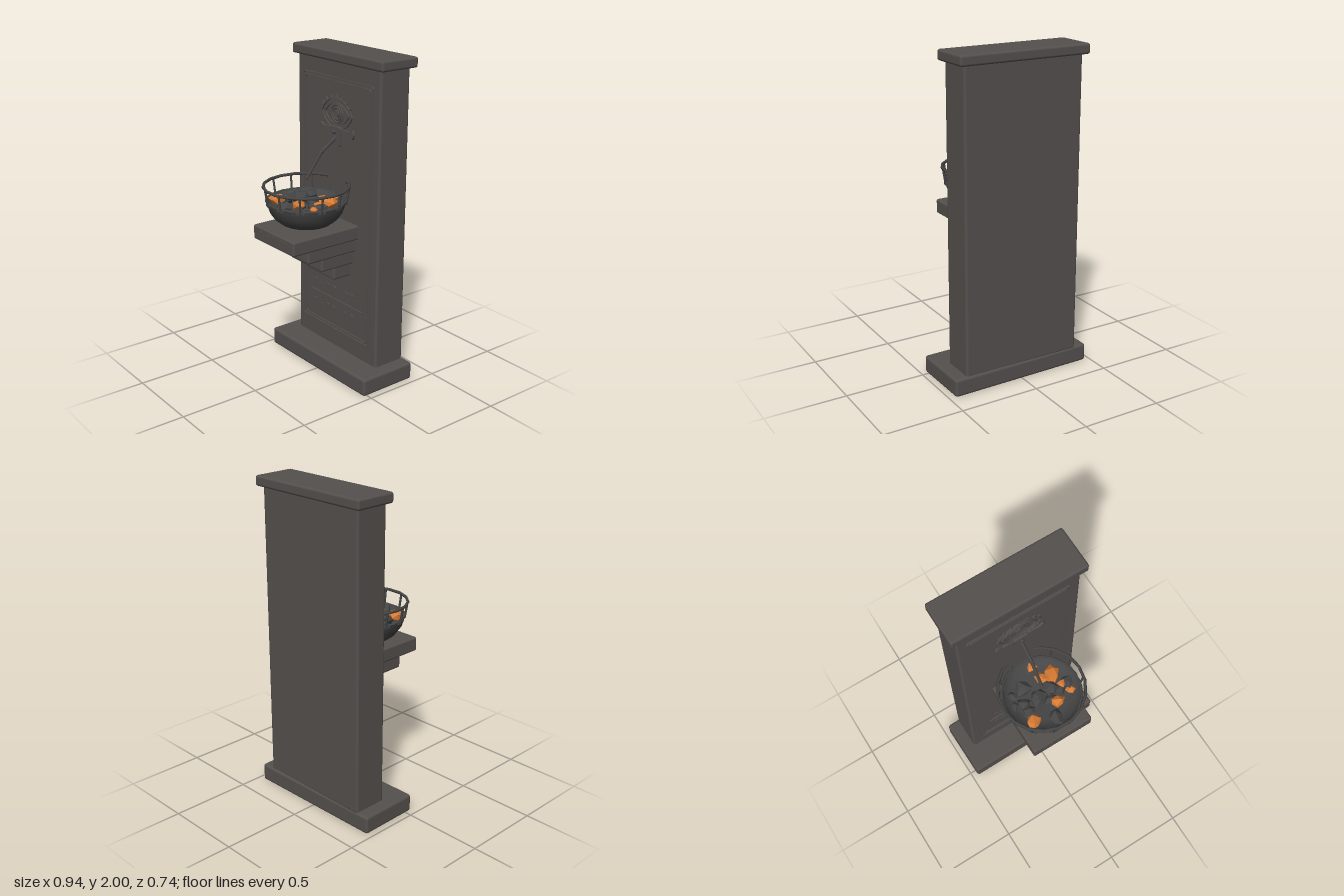
import * as THREE from 'three';
import { RoundedBoxGeometry } from 'three/addons/geometries/RoundedBoxGeometry.js';

const FACE = -0.127; // front plane of the slab

export function createModel() {
  const model = new THREE.Group();
  model.name = 'wallBrazier';
  const mat = (name, color, extra = {}) => {
    const m = new THREE.MeshStandardMaterial({ color, ...extra });
    m.name = name;
    return m;
  };
  const stone = mat('stone', 0x55504e);
  const iron = mat('iron', 0x474646, { side: THREE.DoubleSide });
  const charcoal = mat('charcoal', 0x464646, { flatShading: true });
  const ember = mat('ember', 0xd97c35, { flatShading: true });

  const add = (name, geo, material, parent = model) => {
    const m = new THREE.Mesh(geo, material);
    m.name = name;
    parent.add(m);
    return m;
  };
  const group = (name) => {
    const g = new THREE.Group();
    g.name = name;
    model.add(g);
    return g;
  };
  // Rounded block given by its limits on each axis
  const block = (name, x0, x1, y0, y1, z0, z1, r = 0.014) => {
    const m = add(name, new RoundedBoxGeometry(x1 - x0, y1 - y0, z1 - z0, 2, r), stone);
    m.position.set((x0 + x1) / 2, (y0 + y1) / 2, (z0 + z1) / 2);
    return m;
  };
  // Thin raised carving from a shape
  const carve = (name, shape, depth, z = FACE, parent = model, material = stone) => {
    const g = new THREE.ExtrudeGeometry(shape, { depth, bevelEnabled: false, curveSegments: 10 });
    g.translate(0, 0, z);
    return add(name, g, material, parent);
  };
  const rect = (Kind, x0, y0, x1, y1, c) => {
    const s = new Kind();
    s.moveTo(x0 + c, y0).lineTo(x1 - c, y0).lineTo(x1, y0 + c).lineTo(x1, y1 - c);
    s.lineTo(x1 - c, y1).lineTo(x0 + c, y1).lineTo(x0, y1 - c).lineTo(x0, y0 + c);
    return s;
  };
  // Straight bar between two points
  const bar = (name, a, b, r0, r1, material, parent, sides = 8) => {
    const d = b.clone().sub(a);
    const m = add(name, new THREE.CylinderGeometry(r1, r0, d.length(), sides), material, parent);
    m.position.copy(a).add(b).multiplyScalar(0.5);
    m.quaternion.setFromUnitVectors(new THREE.Vector3(0, 1, 0), d.normalize());
    return m;
  };
  const V = (x, y, z) => new THREE.Vector3(x, y, z);

  // Slab, base and cap
  block('slab', -0.387, 0.385, 0.1, 1.95, -0.345, FACE, 0.016);
  block('base', -0.466, 0.466, 0, 0.113, -0.352, 0.036, 0.018).rotation.y = 0.012;
  block('cap', -0.42, 0.42, 1.937, 2, -0.373, -0.104, 0.014);

  // Stepped bracket under the bowl
  [[0.204, 0.895, 0.985, 0.35], [0.18, 0.812, 0.897, 0.227],
    [0.157, 0.727, 0.814, 0.11], [0.135, 0.642, 0.729, 0.0]].forEach(([w, y0, y1, z], i) =>
    block('bracketStep' + (i + 1), -w, w, y0, y1, -0.2, z, 0.012));

  // Raised double border on the slab face
  [0, 0.02].forEach((d, i) => {
    const s = rect(THREE.Shape, -0.33 + d, 0.225 + d, 0.327 - d, 1.845 - d, 0.012);
    s.holes.push(rect(THREE.Path, -0.323 + d, 0.232 + d, 0.32 - d, 1.838 - d, 0.01));
    carve('borderLine' + (i + 1), s, 0.008);
  });

  // Carved eye
  const eye = group('carvedEye');
  const almond = (Kind, w, h) => {
    const s = new Kind();
    s.moveTo(-w, 0).bezierCurveTo(-w * 0.6, -h * 1.3, w * 0.6, -h * 1.3, w, 0);
    s.bezierCurveTo(w * 0.6, h * 1.3, -w * 0.6, h * 1.3, -w, 0);
    return s;
  };
  [[0.147, 0.1], [0.115, 0.07]].forEach(([w, h]) => {
    const s = almond(THREE.Shape, w, h);
    s.holes.push(almond(THREE.Path, w - 0.012, h - 0.008));
    carve('eyelid', s, 0.008, FACE, eye);
  });
  [0.054, 0.036].forEach((r) => add('irisRing', new THREE.TorusGeometry(r, 0.006, 6, 24), stone, eye).position.z = FACE);
  const pupil = add('pupil', new THREE.CylinderGeometry(0.022, 0.022, 0.016, 16), stone, eye);
  pupil.rotation.x = Math.PI / 2;
  pupil.position.z = FACE;
  for (let i = -3; i <= 3; i++) {
    const a = i * 0.36;
    bar('lash', V(Math.sin(a) * 0.135, Math.cos(a) * 0.092, FACE), V(Math.sin(a) * 0.155, Math.cos(a) * 0.115, FACE), 0.009, 0.004, stone, eye, 6);
  }
  eye.position.set(-0.003, 1.63, 0);

  // Spout: mounting plate, flared crossbar, knob and bent rod
  const spout = group('spout');
  const cross = new THREE.Shape();
  cross.moveTo(-0.15, -0.028).lineTo(-0.115, -0.014).lineTo(0.115, -0.014).lineTo(0.15, -0.028);
  cross.quadraticCurveTo(0.178, 0, 0.15, 0.028).lineTo(0.115, 0.014).lineTo(-0.115, 0.014).lineTo(-0.15, 0.028);
  cross.quadraticCurveTo(-0.178, 0, -0.15, -0.028);
  carve('crossbar', cross, 0.012, FACE, spout).position.y = 1.53;
  carve('mountPlate', rect(THREE.Shape, -0.045, 1.44, 0.045, 1.555, 0.006), 0.02, FACE, spout);
  add('knob', new THREE.SphereGeometry(0.014, 10, 8), iron, spout).position.set(0, 1.523, -0.104);
  const path = [V(0, 1.493, -0.12), V(0, 1.412, -0.002), V(0, 1.272, 0.104)];
  bar('rodUpper', path[0], path[1], 0.012, 0.011, iron, spout);
  bar('rodLower', path[1], path[2], 0.011, 0.009, iron, spout);
  add('rodElbow', new THREE.SphereGeometry(0.011, 8, 6), iron, spout).position.copy(path[1]);

  // Rows of abstract hooked notches
  const notches = (name, count, x0, x1, y, h, z) => {
    const g = group(name);
    const t = h * 0.16;
    const piece = (x, py, w, ph, rot = 0) => {
      const m = add('notch', new THREE.BoxGeometry(w, ph, 0.012), stone, g);
      m.position.set(x, py, z);
      m.rotation.z = rot;
    };
    for (let i = 0; i < count; i++) {
      const x = x0 + (x1 - x0) * i / (count - 1);
      piece(x, y, t, h);
      if (i % 3 === 1) piece(x, y + h * 0.12, h * 0.55, t);
      else {
        piece(x + h * 0.2, y + h * 0.42, h * 0.4, t, -0.25);
        piece(x + h * 0.38, y + h * 0.22, t, h * 0.4);
      }
    }
  };
  notches('upperNotches', 8, -0.21, 0.205, 0.487, 0.062, FACE);
  notches('lowerNotches', 8, -0.21, 0.205, 0.35, 0.062, FACE);
  notches('bracketNotches', 7, -0.125, 0.12, 0.942, 0.042, 0.348);
  carve('dividerLine', rect(THREE.Shape, -0.25, 0.427, 0.25, 0.437, 0.002), 0.008);

  // Bowl with a thick wall
  const fire = group('fireBowl');
  fire.position.z = 0.105;
  const profile = [[0, 0.985], [0.1, 0.987], [0.15, 1.005], [0.19, 1.035], [0.222, 1.08], [0.24, 1.135],
    [0.237, 1.145], [0.226, 1.14], [0.205, 1.105], [0.15, 1.085], [0, 1.075]].map(([x, y]) => new THREE.Vector2(x, y));
  add('bowl', new THREE.LatheGeometry(profile, 20), iron, fire);

  // Basket: top ring, rim ring and upright posts
  const ring = (name, r, tube, y) => {
    const m = add(name, new THREE.TorusGeometry(r, tube, 6, 18), iron, fire);
    m.rotation.x = Math.PI / 2;
    m.position.y = y;
  };
  ring('topRing', 0.256, 0.009, 1.23);
  ring('rimRing', 0.236, 0.008, 1.14);
  for (let i = 0; i < 12; i++) {
    const a = (i + 0.5) * Math.PI / 6;
    const s = Math.sin(a), c = Math.cos(a);
    bar('basketPost', V(s * 0.238, 1.125, c * 0.238), V(s * 0.255, 1.232, c * 0.255), 0.007, 0.007, iron, fire, 6);
    const clip = add('postClip', new THREE.BoxGeometry(0.05, 0.016, 0.014), iron, fire);
    clip.position.set(s * 0.236, 1.135, c * 0.236);
    clip.rotation.y = a;
  }

  // Faceted lumps: x, z, radius, height
  const lumps = (name, list, material) => list.forEach(([x, z, r, y], k) => {
    const geo = new THREE.IcosahedronGeometry(r, 0);
    const p = geo.attributes.position;
    for (let i = 0; i < p.count; i++) {
      const f = 1 + 0.2 * Math.sin(Math.round(p.getX(i) / r * 50) * 1.7 + Math.round(p.getY(i) / r * 50) * 2.3 + Math.round(p.getZ(i) / r * 50) * 0.9 + k);
      p.setXYZ(i, p.getX(i) * f, p.getY(i) * f * 0.7, p.getZ(i) * f * 0.9);
    }
    geo.computeVertexNormals();
    const m = add(name, geo, material);
    m.position.set(x, y, z);
    m.rotation.set(0.15 * Math.sin(k * 3), k * 1.9, 0.15 * Math.cos(k * 2));
  });
  lumps('coal', [[-0.08, 0.02, 0.056, 1.14], [-0.15, 0.03, 0.036, 1.13], [-0.175, 0.085, 0.028, 1.13],
    [-0.12, 0.1, 0.042, 1.13], [-0.03, 0.12, 0.06, 1.145], [0.06, 0.1, 0.05, 1.145], [0.165, 0.12, 0.045, 1.14],
    [-0.12, 0.165, 0.046, 1.13], [0.03, 0.165, 0.042, 1.13], [0, 0.27, 0.054, 1.12], [0.105, 0.135, 0.038, 1.13],
    [-0.04, 0.11, 0.035, 1.165]], charcoal);
  lumps('glowingCoal', [[0.04, -0.07, 0.032, 1.13], [0.05, 0.02, 0.042, 1.14], [0.115, 0.035, 0.06, 1.14],
    [0.055, 0.192, 0.045, 1.14], [-0.13, 0.225, 0.05, 1.135], [0.16, 0.17, 0.03, 1.135], [0.13, 0.115, 0.028, 1.15]], ember);

  return model;
}
